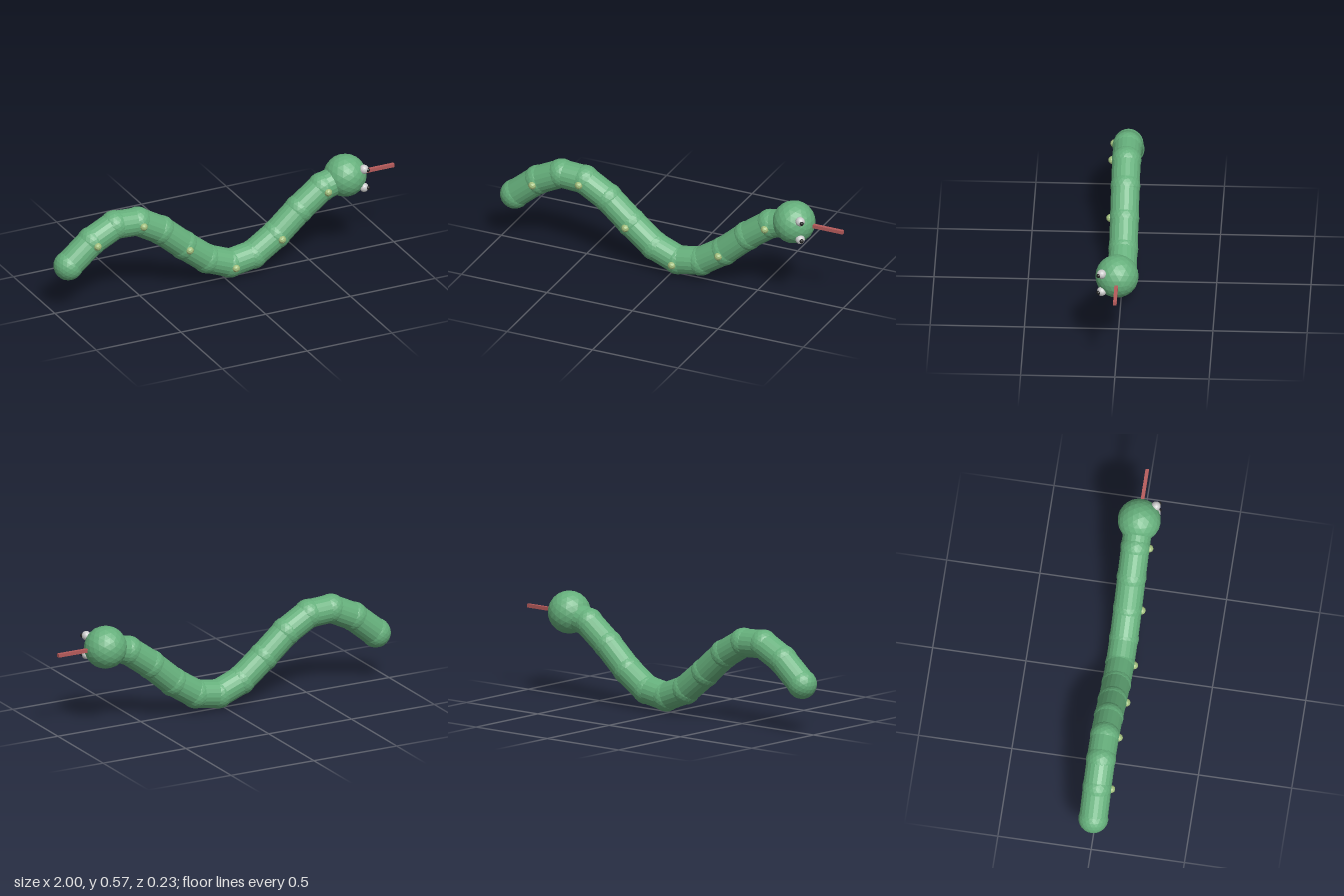
import * as THREE from 'three';

const mat = (color) => new THREE.MeshStandardMaterial({ color, flatShading: true });

export function createModel() {
  const group = new THREE.Group();
  const green = mat(0x66b07c), lime = mat(0xa3bf7d), white = mat(0xe8e8e8);
  const black = mat(0x222222), red = mat(0xb55a5a);

  const add = (name, geometry, material, x, y, z) => {
    const mesh = new THREE.Mesh(geometry, material);
    mesh.name = name;
    mesh.position.set(x, y, z);
    group.add(mesh);
    return mesh;
  };

  // Joints along a wave, from the tail to the head
  const count = 13;
  const joints = [];
  for (let i = 0; i < count; i++) {
    joints.push(new THREE.Vector3(-0.92 + i * 0.136, 0.27 + 0.187 * Math.sin(i * 0.653), 0));
  }

  // Body: a ball at each joint, a cylinder between neighbours, a spot on every second joint
  const ball = new THREE.IcosahedronGeometry(0.08, 3);
  const spot = new THREE.IcosahedronGeometry(0.022, 1);
  const up = new THREE.Vector3(0, 1, 0);
  for (let i = 0; i < count - 1; i++) {
    const a = joints[i], b = joints[i + 1];
    add('bodyJoint', ball, green, a.x, a.y, 0);
    const dir = b.clone().sub(a);
    const mid = a.clone().add(b).multiplyScalar(0.5);
    const tube = new THREE.CylinderGeometry(0.076, 0.076, dir.length(), 20);
    add('bodySegment', tube, green, mid.x, mid.y, 0)
      .quaternion.setFromUnitVectors(up, dir.normalize());
    if (i % 2 === 1) add('spot', spot, lime, a.x, a.y, 0.075);
  }

  // Head
  const head = joints[count - 1];
  add('head', new THREE.IcosahedronGeometry(0.115, 3), green, head.x, head.y, 0);

  // Eyes, one above the other on the front side
  const eye = new THREE.IcosahedronGeometry(0.025, 3);
  const pupil = new THREE.IcosahedronGeometry(0.0115, 2);
  for (const s of [-1, 1]) {
    add('eye', eye, white, head.x + 0.073, head.y + s * 0.053, 0.079);
    add('pupil', pupil, black, head.x + 0.089, head.y + s * 0.052, 0.095);
  }

  // Tongue
  add('tongue', new THREE.BoxGeometry(0.2, 0.019, 0.019), red, 0.9, head.y, 0);

  return group;
}
